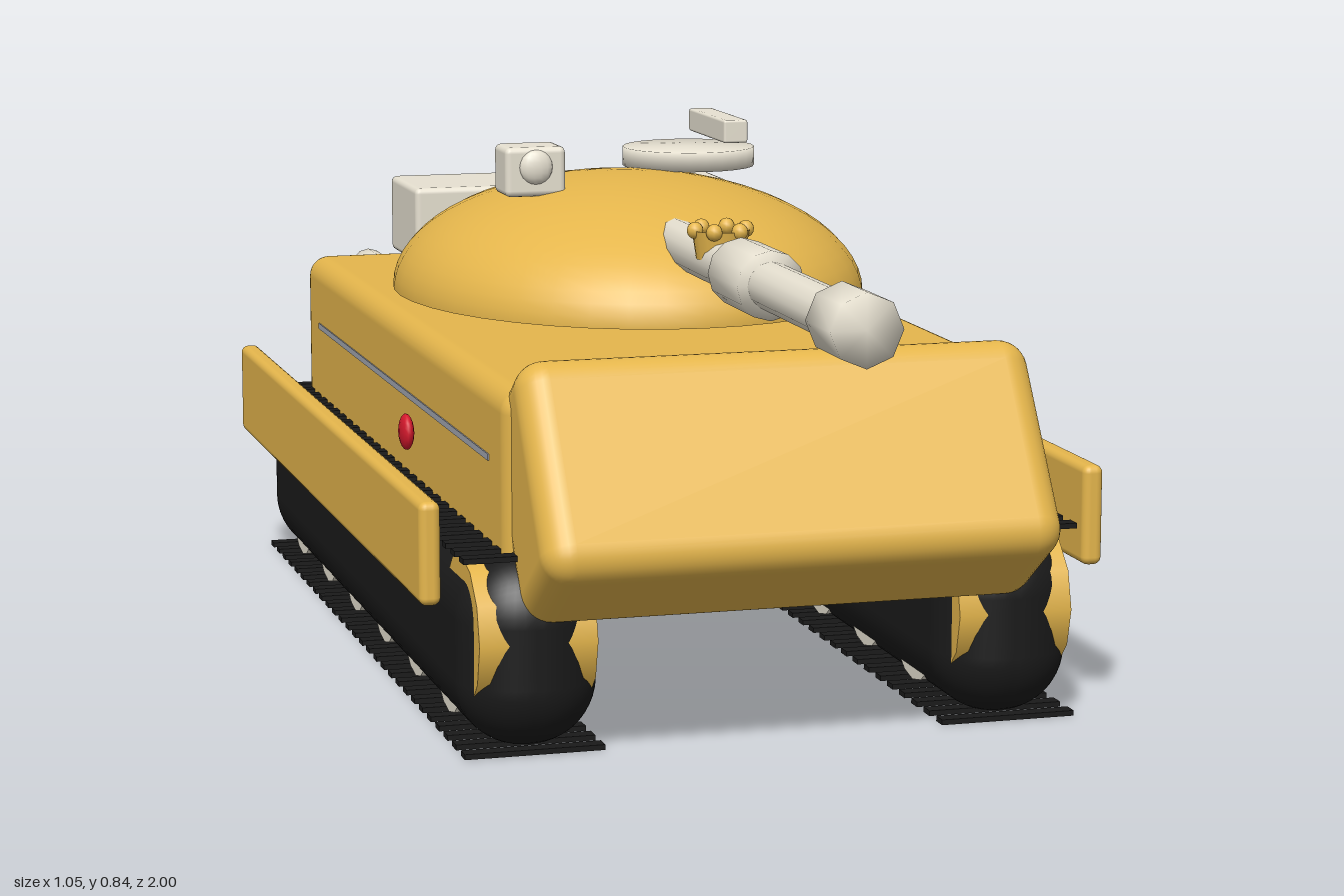
import * as THREE from 'three';
import { RoundedBoxGeometry } from 'three/addons/geometries/RoundedBoxGeometry.js';
import { mergeVertices } from 'three/addons/utils/BufferGeometryUtils.js';

const paint = (name, color) => {
  const m = new THREE.MeshStandardMaterial({ color });
  m.name = name;
  return m;
};

// Shares vertices across edges so caps and sides shade softly together
const soften = (geometry) => {
  geometry.deleteAttribute('normal');
  geometry.deleteAttribute('uv');
  const merged = mergeVertices(geometry);
  merged.computeVertexNormals();
  return merged;
};

export function createModel() {
  const gold = paint('gold', 0xe5b64c);
  gold.side = THREE.DoubleSide;
  const stone = paint('stone', 0xe8e2d2);
  const black = paint('black', 0x1a1a1a);
  const red = paint('red', 0xd4182c);
  const grey = paint('grey', 0xa4a8b2);

  const model = new THREE.Group();
  model.name = 'tank';

  const add = (name, geometry, material, x, y, z, parent = model) => {
    const mesh = new THREE.Mesh(geometry, material);
    mesh.name = name;
    mesh.position.set(x, y, z);
    parent.add(mesh);
    return mesh;
  };
  const rbox = (w, h, d, r, seg = 4) => new RoundedBoxGeometry(w, h, d, seg, r);
  const box = (w, h, d) => new THREE.BoxGeometry(w, h, d);
  const tubeZ = (r, z0, z1, sides) => soften(
    new THREE.CylinderGeometry(r, r, z1 - z0, sides).rotateX(Math.PI / 2).translate(0, 0, (z0 + z1) / 2));
  const wheel = (r, w, sides) => new THREE.CylinderGeometry(r, r, w, sides).rotateZ(Math.PI / 2);

  // Hull with a tilted front plate
  add('hull', rbox(0.802, 0.32, 1.51, 0.035), gold, 0, 0.37, -0.18);
  add('nose', rbox(0.78, 0.345, 0.22, 0.045), gold, 0, 0.388, 0.599).rotation.x = -0.6;

  // Turret dome, longer than it is wide
  const dome = new THREE.SphereGeometry(1, 40, 16, 0, Math.PI * 2, 0, Math.PI / 2).scale(0.38, 0.19, 0.464);
  add('turret', dome, gold, 0, 0.555, -0.232);
  const floor = new THREE.CircleGeometry(1, 40).rotateX(Math.PI / 2).scale(0.38, 1, 0.464);
  add('turretFloor', floor, gold, 0, 0.555, -0.232);
  add('stowageBox', rbox(0.555, 0.13, 0.205, 0.01, 2), stone, 0, 0.62, -0.682);

  // Gun
  const gun = new THREE.Group();
  gun.name = 'gun';
  gun.position.y = 0.668;
  model.add(gun);
  add('barrel', tubeZ(0.036, 0, 0.92, 12), stone, 0, 0, 0, gun);
  add('sleeve', tubeZ(0.052, 0.415, 0.565, 12), stone, 0, 0, 0, gun);
  add('muzzle', tubeZ(0.053, 0.89, 1, 8), stone, 0, 0, 0, gun);

  // Small beaded crown around the barrel
  add('crownBand', new THREE.CylinderGeometry(0.044, 0.037, 0.044, 16, 1, true), gold, 0, 0.696, 0.307);
  for (let i = 0; i < 6; i++) {
    const a = (i / 6) * Math.PI * 2;
    add('crownBead', new THREE.SphereGeometry(0.013, 10, 8), gold,
      Math.cos(a) * 0.04, 0.718, 0.307 + Math.sin(a) * 0.04);
  }

  // Roof fittings
  const hatch = soften(new THREE.CylinderGeometry(0.11, 0.11, 0.032, 24));
  add('hatch', hatch, stone, 0.14, 0.755, -0.35);
  add('roofGun', rbox(0.04, 0.037, 0.205, 0.004, 2), stone, 0.14, 0.823, -0.177);
  add('sight', rbox(0.1, 0.08, 0.083, 0.01, 2), stone, -0.175, 0.76, -0.182);
  add('sightLens', new THREE.SphereGeometry(0.028, 14, 10).scale(1, 1, 0.5), stone, -0.175, 0.768, -0.142);

  // Rear light bar
  add('rearLightBar', box(0.62, 0.02, 0.014), red, 0, 0.485, -0.988);

  for (const s of [1, -1]) {
    const side = new THREE.Group();
    side.name = s > 0 ? 'leftSide' : 'rightSide';
    model.add(side);

    add('exhaust', tubeZ(0.031, -1, -0.925, 12), stone, s * 0.275, 0.496, 0, side);
    add('skirt', rbox(0.032, 0.153, 1.48, 0.012, 3), gold, s * 0.51, 0.298, -0.175, side);
    add('sideStripe', box(0.006, 0.01, 1.29), grey, s * 0.4, 0.418, -0.175, side);
    add('sideLamp', new THREE.SphereGeometry(0.028, 14, 10).scale(0.4, 1, 1), red, s * 0.455, 0.402, 0.15, side);

    // Track body, with drive wheels and road wheels breaking its rounded edges
    add('track', rbox(0.21, 0.29, 1.61, 0.1, 6), black, s * 0.365, 0.148, -0.173, side);
    for (const z of [0.51, -0.856]) add('driveWheel', wheel(0.114, 0.176, 12), gold, s * 0.365, 0.17, z, side);
    for (let i = 0; i < 6; i++) {
      add('roadWheel', wheel(0.097, 0.17, 16), stone, s * 0.365, 0.121, 0.407 - i * 0.232, side);
    }

    // Tread plates below and above
    for (let i = 0; i < 28; i++) {
      const z = 0.585 - i * 0.0565;
      for (const y of [0.004, 0.292]) add('treadPlate', box(0.21, 0.008, 0.026), black, s * 0.365, y, z, side);
    }
  }
  return model;
}
